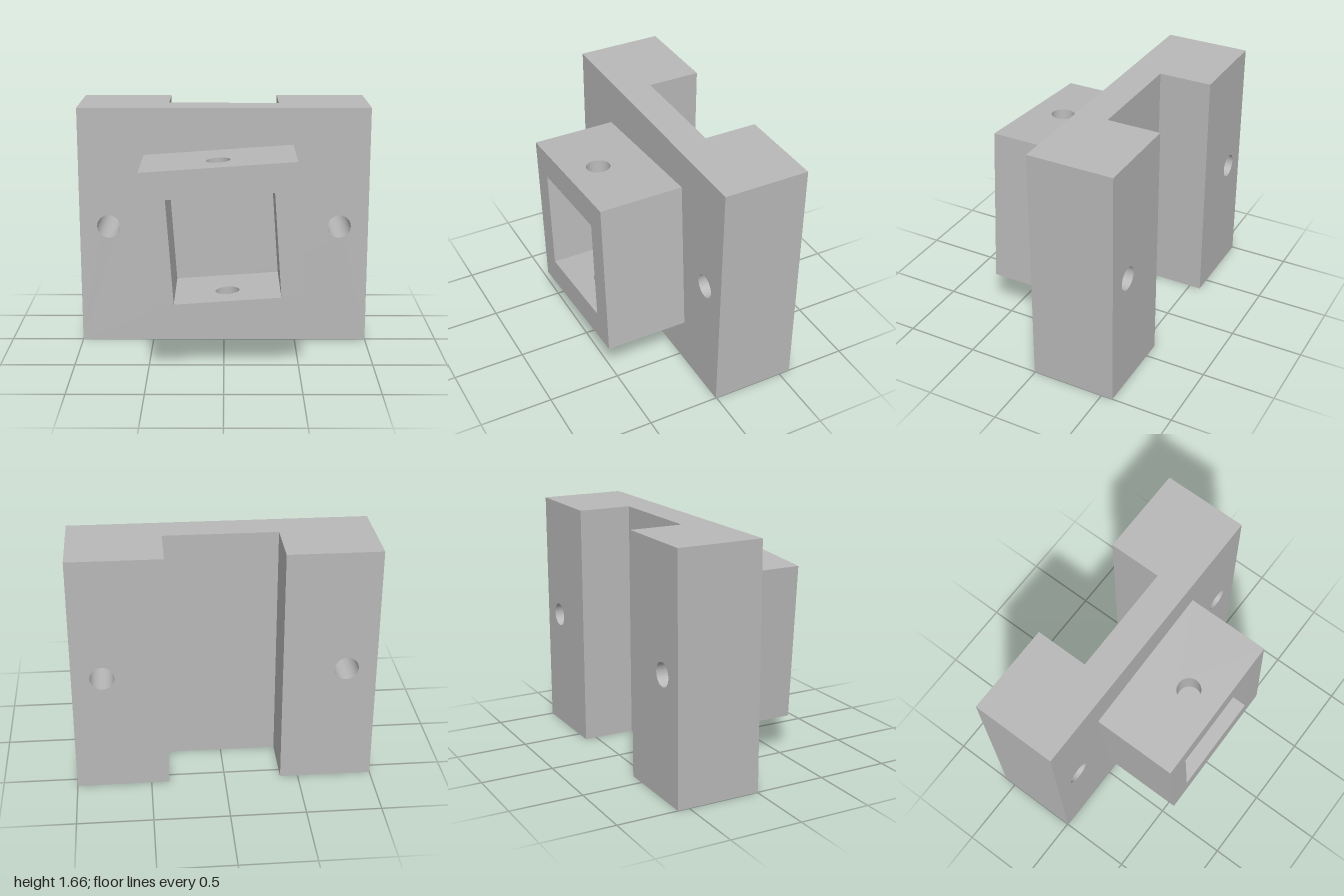
import * as THREE from 'three';
import { toCreasedNormals } from 'three/addons/utils/BufferGeometryUtils.js';

const HOLE_R = 0.08;

// Rectangular slab with round through-holes, extruded along +z
function drilledSlab(x0, x1, y0, y1, depth, holes) {
  const shape = new THREE.Shape();
  shape.moveTo(x0, y0);
  shape.lineTo(x1, y0);
  shape.lineTo(x1, y1);
  shape.lineTo(x0, y1);
  shape.closePath();
  for (const [x, y] of holes) {
    const hole = new THREE.Path();
    hole.absarc(x, y, HOLE_R, 0, Math.PI * 2, true);
    shape.holes.push(hole);
  }
  const geo = new THREE.ExtrudeGeometry(shape, { depth, bevelEnabled: false, curveSegments: 40 });
  return toCreasedNormals(geo, 0.6);
}

export function createModel() {
  const group = new THREE.Group();
  const grey = new THREE.MeshStandardMaterial({ color: 0xb8b8b8 });
  grey.name = 'plain grey';
  const add = (parent, name, geo, x, y, z) => {
    const mesh = new THREE.Mesh(geo, grey);
    mesh.name = name;
    mesh.position.set(x, y, z);
    parent.add(mesh);
  };

  const H = 1.66, mid = H / 2;
  const back = -0.58, channel = -0.215, face = 0.005, front = 0.58;

  // Mounting plate with two screw holes
  add(group, 'mountingPlate',
    drilledSlab(-1, 1, 0, H, face - channel, [[-0.8, mid], [0.8, mid]]), 0, 0, channel);

  // Rear rails either side of the channel
  for (const [name, x0, x1, hx] of [['leftRail', 0.38, 1, 0.8], ['rightRail', -1, -0.38, -0.8]]) {
    add(group, name, drilledSlab(x0, x1, 0, H, channel - back, [[hx, mid]]), 0, 0, back);
  }

  // Tilted square socket on the front
  const socket = new THREE.Group();
  socket.name = 'tiltedSocket';
  socket.position.y = mid;
  socket.rotation.z = THREE.MathUtils.degToRad(4);
  group.add(socket);
  const W = 0.5125, T = 0.5425, inner = 0.353, depth = front - face;

  // Top and bottom walls, each with a pin hole
  for (const [name, y] of [['socketTop', inner], ['socketBottom', -T]]) {
    const geo = drilledSlab(-W, W, -front, -face, T - inner, [[0, -0.35]]);
    geo.rotateX(-Math.PI / 2);
    add(socket, name, geo, 0, y, 0);
  }

  // Side walls
  for (const [name, s] of [['socketLeft', 1], ['socketRight', -1]]) {
    add(socket, name, new THREE.BoxGeometry(W - inner, inner * 2, depth),
      s * (W + inner) / 2, 0, (front + face) / 2);
  }
  return group;
}
